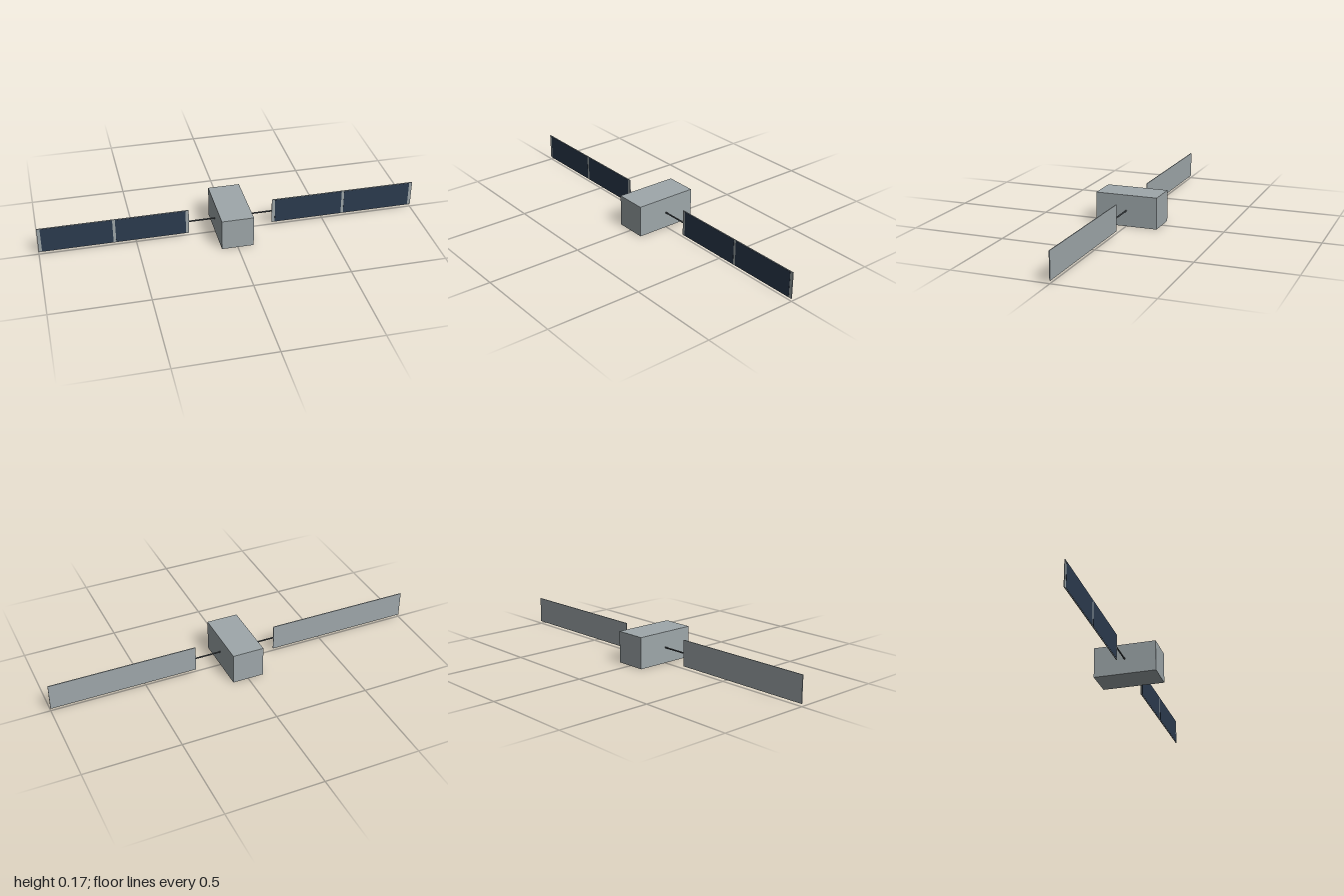
import * as THREE from 'three';

const grey = new THREE.MeshStandardMaterial({ color: 0x9ea7aa });
grey.name = 'satellite grey';
const navy = new THREE.MeshStandardMaterial({ color: 0x2c3b4f });
navy.name = 'solar cell navy';
const dark = new THREE.MeshStandardMaterial({ color: 0x454b4f });
dark.name = 'boom dark grey';

const MID = 0.0835; // height of the boom axis

function add(parent, name, geometry, material, x, y, z) {
  const mesh = new THREE.Mesh(geometry, material);
  mesh.name = name;
  mesh.position.set(x, y, z);
  parent.add(mesh);
  return mesh;
}

// One wing: boom, backing panel and two front-facing cell plates
function createWing(side) {
  const wing = new THREE.Group();
  wing.name = side > 0 ? 'leftWing' : 'rightWing';

  const boom = add(wing, 'boom', new THREE.CylinderGeometry(0.004, 0.004, 0.142, 12), dark, side * 0.152, MID, 0);
  boom.rotation.z = Math.PI / 2;

  add(wing, 'panel', new THREE.BoxGeometry(0.778, 0.139, 0.0045), grey, side * 0.611, MID, 0);

  for (const x of [0.4215, 0.8005]) {
    add(wing, 'solarCells', new THREE.BoxGeometry(0.365, 0.134, 0.001), navy, side * x, MID, 0.0026);
  }
  return wing;
}

export function createModel() {
  const model = new THREE.Group();
  model.name = 'satellite';
  add(model, 'body', new THREE.BoxGeometry(0.167, 0.167, 0.333), grey, 0, MID, 0);
  for (const side of [-1, 1]) model.add(createWing(side));
  return model;
}
